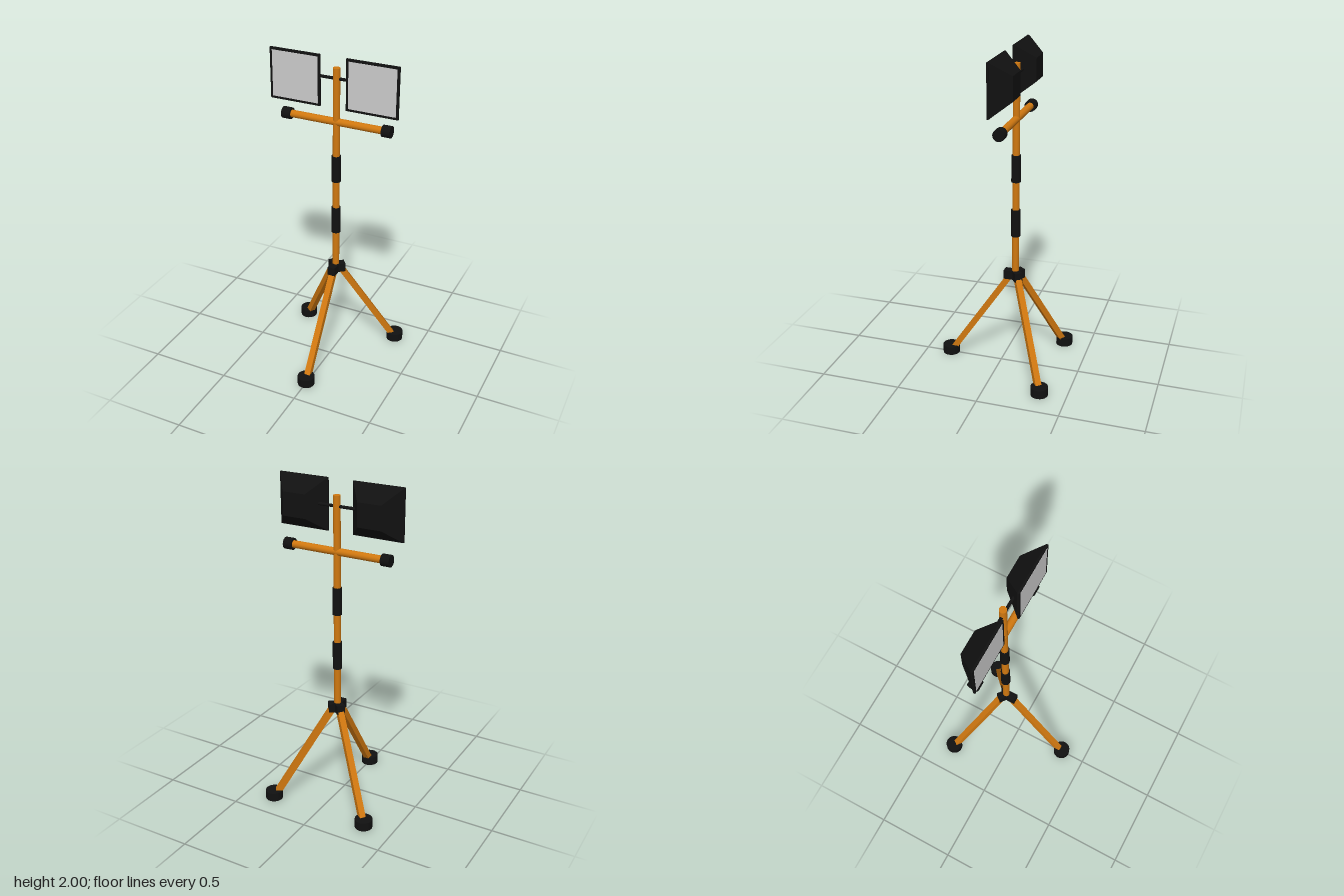
import * as THREE from 'three';

const orange = new THREE.MeshStandardMaterial({ color: 0xd07810 });
const black = new THREE.MeshStandardMaterial({ color: 0x111111 });
const blackFlat = new THREE.MeshStandardMaterial({ color: 0x111111, flatShading: true });
const grey = new THREE.MeshStandardMaterial({ color: 0xcccccc });

const POLE_Z = -0.09;

export function createModel() {
  const root = new THREE.Group();

  function add(parent, name, geometry, material, x = 0, y = 0, z = 0) {
    const mesh = new THREE.Mesh(geometry, material);
    mesh.name = name;
    mesh.position.set(x, y, z);
    parent.add(mesh);
    return mesh;
  }
  const upright = (r, y0, y1) => new THREE.CylinderGeometry(r, r, y1 - y0, 24).translate(0, (y0 + y1) / 2, 0);
  const sideways = (r, x0, x1) =>
    new THREE.CylinderGeometry(r, r, x1 - x0, 24).rotateZ(Math.PI / 2).translate((x0 + x1) / 2, 0, 0);

  // Telescopic pole with two clamp sleeves
  add(root, 'pole', upright(0.021, 0.59, 1.92), orange, 0, 0, POLE_Z);
  add(root, 'lowerSleeve', upright(0.028, 0.87, 1.04), black, 0, 0, POLE_Z);
  add(root, 'upperSleeve', upright(0.028, 1.215, 1.38), black, 0, 0, POLE_Z);

  // Handle bar with end grips, and the thin rod carrying the lamps
  add(root, 'crossBar', sideways(0.022, -0.3, 0.3), orange, 0, 1.595, POLE_Z);
  add(root, 'rightGrip', sideways(0.035, -0.342, -0.288), black, 0, 1.595, POLE_Z);
  add(root, 'leftGrip', sideways(0.035, 0.288, 0.342), black, 0, 1.595, POLE_Z);
  add(root, 'lampRod', sideways(0.009, -0.2, 0.2), black, 0, 1.857, POLE_Z);

  // Floodlights: square rim, tapered housing behind, pale glass in front
  for (const side of [-1, 1]) {
    const lamp = new THREE.Group();
    lamp.name = side > 0 ? 'leftLamp' : 'rightLamp';
    lamp.position.set(side * 0.2375, 1.8475, 0);
    root.add(lamp);
    add(lamp, 'rim', new THREE.BoxGeometry(0.315, 0.305, 0.011), blackFlat, 0, 0, -0.0465);
    const housing = new THREE.CylinderGeometry(0.072 * Math.SQRT2, 0.157 * Math.SQRT2, 0.109, 4)
      .rotateY(Math.PI / 4).rotateX(-Math.PI / 2).scale(1, 0.97, 1);
    add(lamp, 'housing', housing, blackFlat, 0, 0, -0.1055);
    add(lamp, 'glass', new THREE.BoxGeometry(0.287, 0.277, 0.004), grey, 0, 0, -0.042);
  }

  // Tripod: hub bracket, square leg and round foot, one set per direction
  const legs = [
    ['front', 0, 0.337, 0.068],
    ['rearLeft', 0.318, -0.336, 0.056],
    ['rearRight', -0.318, -0.336, 0.056],
  ];
  for (const [name, footX, footZ, reach] of legs) {
    const dx = footX, dz = footZ - POLE_Z;
    const arm = new THREE.Group();
    arm.name = name + 'LegAssembly';
    arm.position.z = POLE_Z;
    arm.rotation.y = Math.atan2(dx, dz);
    root.add(arm);
    const span = Math.hypot(dx, dz);

    add(arm, 'bracket', new THREE.BoxGeometry(0.048, 0.056, reach), black, 0, 0.613, reach / 2);
    const top = new THREE.Vector3(0, 0.615, 0.025);
    const foot = new THREE.Vector3(0, 0.03, span - 0.016);
    const leg = add(arm, 'leg', new THREE.BoxGeometry(0.037, 0.037, top.distanceTo(foot)), orange);
    leg.position.copy(top).add(foot).multiplyScalar(0.5);
    leg.rotation.x = Math.atan2(top.y - foot.y, foot.z - top.z);
    add(arm, 'foot', upright(0.053, 0, 0.055), black, 0, 0, span);
  }
  return root;
}
